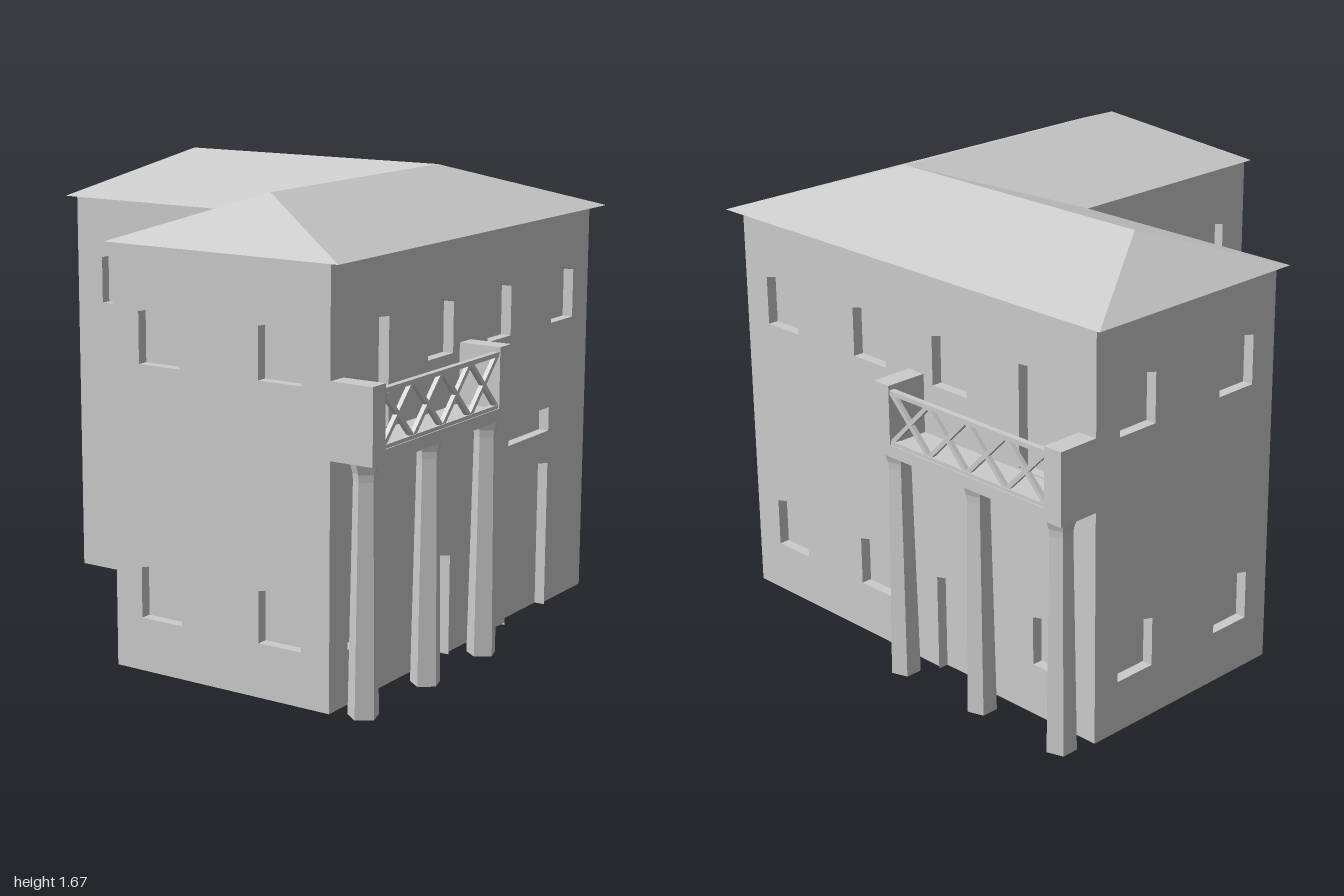
import * as THREE from 'three';

const mat = new THREE.MeshStandardMaterial({ color: 0xcccccc, flatShading: true, side: THREE.DoubleSide });
const BOTTOM = 0.01, EAVE = 1.5, RIDGE = 1.667, RECESS = 0.04;
const V2 = (x, y) => new THREE.Vector2(x, y);

function add(parent, geometry, name, x = 0, y = 0, z = 0) {
  const mesh = new THREE.Mesh(geometry, mat);
  mesh.name = name;
  mesh.position.set(x, y, z);
  parent.add(mesh);
  return mesh;
}

// Box given by its limits on each axis
function block(parent, name, x0, x1, y0, y1, z0, z1) {
  return add(parent, new THREE.BoxGeometry(x1 - x0, y1 - y0, z1 - z0), name,
    (x0 + x1) / 2, (y0 + y1) / 2, (z0 + z1) / 2);
}

function trianglesGeometry(points) {
  const g = new THREE.BufferGeometry();
  g.setAttribute('position', new THREE.Float32BufferAttribute(points.flat(), 3));
  g.computeVertexNormals();
  return g;
}

// Openings: u runs to the right as seen from outside the wall
const opening = (name, u0, u1, y0, y1, rise) => ({ name, u0, u1, y0, y1, rise });
const win = (u0, y0, w = 0.17) => opening('window', u0, u0 + w, y0, y0 + 0.2, 0.02);
const door = (u0, u1, top) => opening('door', u0, u1, 0, top, 0.025);
const lintel = (u0, u1) => opening('lintelPanel', u0, u1, 0.68, 0.77, 0);

function outline({ u0, u1, y0, y1, rise }) {
  const pts = [V2(u0, y0), V2(u0, y1 - rise)];
  if (rise) pts.push(V2((u0 + u1) / 2, y1));
  return [...pts, V2(u1, y1 - rise), V2(u1, y0)];
}

// Jambs and back panel of one opening
function addRecess(parent, o) {
  const pts = outline(o), tris = [];
  pts.forEach((p, i) => {
    const q = pts[(i + 1) % pts.length];
    if (o.name === 'door' && i === pts.length - 1) return; // open threshold
    const a = [p.x, p.y, 0], b = [q.x, q.y, 0], c = [q.x, q.y, -RECESS], d = [p.x, p.y, -RECESS];
    tris.push(a, b, c, a, c, d);
  });
  const group = new THREE.Group();
  group.name = o.name;
  add(group, trianglesGeometry(tris), o.name + 'Frame');
  add(group, new THREE.ShapeGeometry(new THREE.Shape(pts)), o.name + 'Panel', 0, 0, -RECESS);
  parent.add(group);
}

// Wall sheet pierced by its openings; doors notch the bottom edge
function buildWall(name, turn, dist, u0, u1, openings) {
  const facade = new THREE.Group();
  facade.name = name;
  facade.rotation.y = turn;
  const wall = new THREE.Group();
  wall.position.z = dist;
  facade.add(wall);

  const edge = [V2(u1, EAVE), V2(u0, EAVE), V2(u0, BOTTOM)];
  const doors = openings.filter(o => o.name === 'door').sort((a, b) => a.u0 - b.u0);
  doors.forEach(o => edge.push(...outline({ ...o, y0: BOTTOM })));
  edge.push(V2(u1, BOTTOM));
  const shape = new THREE.Shape(edge);
  openings.filter(o => o.name !== 'door').forEach(o => shape.holes.push(new THREE.Path(outline(o))));
  add(wall, new THREE.ShapeGeometry(shape), name + 'Surface');
  openings.forEach(o => addRecess(wall, o));
  return facade;
}

// Balcony on three columns, centred on u = 0, wall plane at z = 0
function buildBalcony() {
  const g = new THREE.Group();
  g.name = 'balcony';
  const half = 0.445, inner = 0.37, depth = 0.16;
  block(g, 'balconyFloor', -half, half, 0.86, 0.905, 0, depth);
  for (const s of [-1, 1]) {
    const a = s * inner, b = s * half;
    block(g, 'balconyEnd', Math.min(a, b), Math.max(a, b), 0.865, 1.12, 0, depth);
  }

  // Railing with four crosses
  const z0 = 0.137, z1 = 0.153, low = 0.91, high = 1.095;
  block(g, 'topRail', -inner, inner, high - 0.008, high + 0.008, z0 - 0.003, z1 + 0.003);
  block(g, 'bottomRail', -inner, inner, low - 0.008, low + 0.008, z0 - 0.003, z1 + 0.003);
  const n = 4, step = 2 * inner / n, h = high - low;
  for (let i = 0; i < n; i++) {
    for (const s of [-1, 1]) {
      const bar = add(g, new THREE.BoxGeometry(Math.hypot(step, h), 0.016, z1 - z0), 'railingCross',
        -inner + (i + 0.5) * step, (low + high) / 2, (z0 + z1) / 2);
      bar.rotation.z = s * Math.atan2(h, step);
    }
  }

  // Five-sided tapering columns with a flared head
  const profile = [[0, 0.01], [0.054, 0.01], [0.041, 0.8], [0.043, 0.825], [0.055, 0.862], [0, 0.862]]
    .map(p => V2(...p));
  const column = new THREE.LatheGeometry(profile, 5, Math.PI / 2);
  for (const u of [-0.392, 0, 0.385]) add(g, column, 'column', u, 0, 0.1).rotation.y = Math.PI;
  return g;
}

// Hipped L-shaped roof with a flat soffit
function buildRoof() {
  const e = (x, z) => [x, EAVE, z], r = (x, z) => [x, RIDGE, z];
  const A = e(-1, -0.87), B = e(0.88, -0.87), C = e(0.88, 0.985);
  const D = e(-0.055, 0.985), E = e(-0.055, 0.06), F = e(-1, 0.06);
  const R1 = r(-0.72, -0.41), R2 = r(0.41, -0.41), R3 = r(0.415, 0.685);
  const faces = [[A, R1, R2, B], [B, R2, R3, C], [C, R3, D], [D, R3, R2, E],
    [E, R2, R1, F], [F, R1, A], [E, F, A, B, C, D]];
  const tris = [];
  for (const f of faces) for (let i = 1; i < f.length - 1; i++) tris.push(f[0], f[i], f[i + 1]);
  return trianglesGeometry(tris);
}

export function createModel() {
  const house = new THREE.Group();
  house.name = 'house';
  const Q = Math.PI / 2, UP = 1.09, LOW = 0.2;
  const gable = [win(0.06, UP), win(0.55, UP), win(0.06, LOW), win(0.55, LOW)];
  const inner = [win(-0.83, UP), win(-0.35, UP), door(-0.66, -0.35, 0.58), lintel(-0.66, -0.35)];
  const mirror = list => list.map(o => ({ ...o, u0: -o.u1, u1: -o.u0 }));

  // Wall behind a balcony, shared by the right and back sides
  const balconySide = [opening('balconyDoor', -0.84, -0.6, 0.91, 1.29, 0.01),
    win(-0.35, UP), win(0.06, UP), win(0.54, UP),
    win(-0.84, LOW, 0.18), door(-0.4, -0.18, 0.39)];
  const rightSide = [...balconySide, door(0.23, 0.54, 0.58), lintel(0.23, 0.54)];
  const backSide = mirror([...balconySide, win(0.06, LOW), win(0.54, LOW)]);

  const right = buildWall('rightWall', Q, 0.83, -0.95, 0.83, rightSide);
  const back = buildWall('backWall', 2 * Q, 0.83, -0.83, 0.95, backSide);
  house.add(right, back,
    buildWall('frontWingFrontWall', 0, 0.95, -0.05, 0.83, gable),
    buildWall('backWingFrontWall', 0, 0.05, -0.95, -0.05, inner),
    buildWall('leftWall', -Q, 0.95, -0.83, 0.05, mirror(gable)),
    buildWall('innerLeftWall', -Q, 0.05, 0.05, 0.95, mirror(inner)));

  for (const [side, u] of [[right, -0.505], [back, 0.505]]) {
    const balcony = buildBalcony();
    balcony.position.set(u, 0, 0.83);
    side.add(balcony);
  }

  add(house, buildRoof(), 'roof');
  return house;
}
